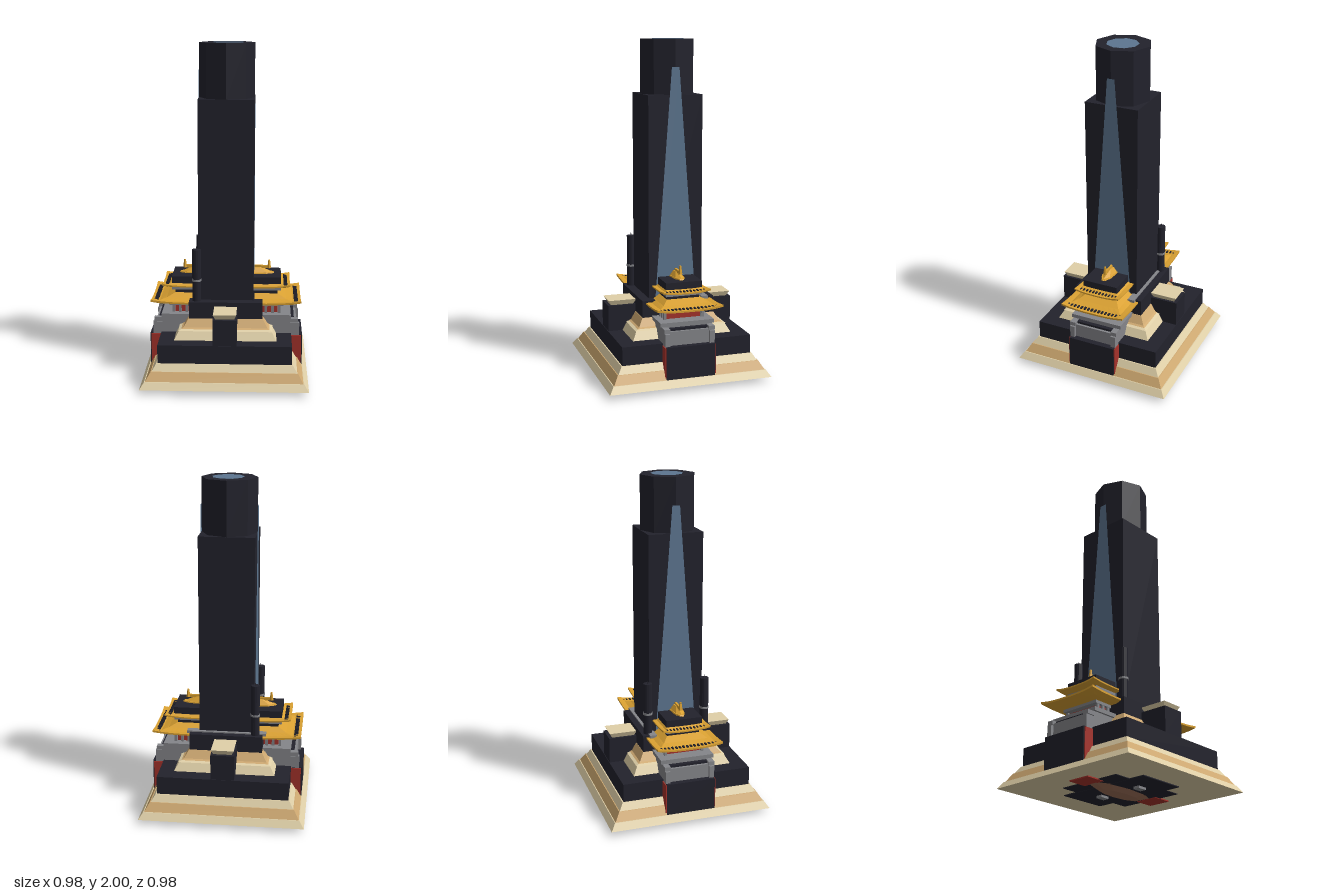
import * as THREE from 'three';

const mat = (name, color, side = THREE.FrontSide) => {
  const m = new THREE.MeshStandardMaterial({ color, side, flatShading: true });
  m.name = name;
  return m;
};

export function createModel() {
  const dark = mat('dark stone', 0x22222c);
  const cream = mat('cream stone', 0xe0d0a8);
  const tan = mat('tan stone', 0xd0aa72);
  const gold = mat('gold roof', 0xdaa132, THREE.DoubleSide);
  const grey = mat('grey stone', 0x85868a);
  const red = mat('red wall', 0xa5322b);
  const blue = mat('blue glass', 0x5d7690, THREE.DoubleSide);
  const brown = mat('brown rock', 0x9a6c55);

  const model = new THREE.Group();
  const add = (parent, name, geo, material) => {
    const m = new THREE.Mesh(geo, material);
    m.name = name;
    parent.add(m);
    return m;
  };
  // box given by its limits on each axis
  const box = (parent, name, material, x0, x1, y0, y1, z0, z1) => {
    const m = add(parent, name, new THREE.BoxGeometry(x1 - x0, y1 - y0, z1 - z0), material);
    m.position.set((x0 + x1) / 2, (y0 + y1) / 2, (z0 + z1) / 2);
    return m;
  };
  // square frustum: half widths at the bottom and the top
  const frustum = (parent, name, material, bottom, top, y0, y1) => {
    const g = new THREE.CylinderGeometry(top * Math.SQRT2, bottom * Math.SQRT2, y1 - y0, 4);
    g.rotateY(Math.PI / 4);
    const m = add(parent, name, g, material);
    m.position.y = (y0 + y1) / 2;
    return m;
  };

  // Stepped plinths
  [[cream, 0.492, 0.465, 0.03, 0.07], [tan, 0.46, 0.43, 0.07, 0.12], [cream, 0.425, 0.4, 0.12, 0.16]]
    .forEach(([m, a, b, y0, y1]) => frustum(model, 'lowerStep', m, a, b, y0, y1));
  box(model, 'lowerTerrace', dark, -0.393, 0.393, 0.16, 0.27, -0.393, 0.393);
  [[cream, 0.303, 0.275, 0.27, 0.32], [tan, 0.275, 0.25, 0.32, 0.333], [cream, 0.28, 0.253, 0.32, 0.33],
    [tan, 0.25, 0.222, 0.333, 0.38]]
    .forEach(([m, a, b, y0, y1]) => frustum(model, 'upperStep', m, a, b, y0, y1));
  box(model, 'upperTerrace', dark, -0.22, 0.22, 0.38, 0.48, -0.22, 0.22);

  // Pedestals with flared caps, front and back
  for (const s of [1, -1]) {
    box(model, 'pedestal', dark, -0.07, 0.07, 0.26, 0.425, s > 0 ? 0.2 : -0.39, s > 0 ? 0.39 : -0.2);
    const cap = frustum(model, 'pedestalCap', cream, 0.055, 0.068, 0.425, 0.455);
    cap.scale.z = 1.25;
    cap.position.z = s * 0.3;
  }

  // Tower shaft and octagonal crown
  box(model, 'towerShaft', dark, -0.165, 0.165, 0.45, 1.68, -0.165, 0.165);
  add(model, 'towerCrown', new THREE.CylinderGeometry(0.165, 0.165, 0.32, 8), dark).position.y = 1.84;
  const skylight = add(model, 'skylight', new THREE.CylinderGeometry(0.095, 0.095, 0.002, 9), blue);
  skylight.position.set(0.008, 2, 0);

  // Tapering glass strip on each side of the tower
  const glassShape = new THREE.Shape([[-0.125, 0.48], [0.125, 0.48], [0.023, 1.84], [-0.023, 1.84]]
    .map(([x, y]) => new THREE.Vector2(x, y)));
  for (const s of [1, -1]) {
    const glass = add(model, 'glassStrip', new THREE.ShapeGeometry(glassShape), blue);
    glass.rotation.y = s * Math.PI / 2;
    glass.position.x = s * 0.167;
  }

  // Chimney-like columns
  for (const s of [1, -1]) {
    const column = new THREE.Group();
    column.name = 'column';
    column.position.set(-0.175, 0, s * 0.178);
    add(column, 'columnShaft', new THREE.CylinderGeometry(0.026, 0.026, 0.32, 16), dark).position.y = 0.635;
    add(column, 'columnBand', new THREE.CylinderGeometry(0.029, 0.029, 0.012, 16), grey).position.y = 0.607;
    const rim = add(column, 'columnRim', new THREE.TorusGeometry(0.027, 0.0015, 4, 20), gold);
    rim.rotation.x = Math.PI / 2;
    rim.position.y = 0.607;
    add(column, 'columnTip', new THREE.ConeGeometry(0.005, 0.02, 6), dark).position.y = 0.805;
    model.add(column);
  }
  box(model, 'backLedge', grey, -0.24, 0.24, 0.47, 0.487, -0.182, -0.14);

  // Three-sided roof skirt: each profile row is [outer x, half z, y, corner lift]
  const roof = (x0, profile) => {
    const n = 8, pos = [], idx = [], w = 3 * n + 1;
    for (const [X, Z, y, lift] of profile) {
      const corners = [[x0, Z], [X, Z], [X, -Z], [x0, -Z]];
      for (let i = 0; i < w; i++) {
        const k = Math.min(2, Math.floor(i / n)), t = i / n - k;
        const [a, b] = [corners[k], corners[k + 1]];
        const near = k === 0 ? t : k === 2 ? 1 - t : Math.abs(2 * t - 1);
        pos.push(a[0] + (b[0] - a[0]) * t, y + lift * near ** 3, a[1] + (b[1] - a[1]) * t);
      }
    }
    for (let r = 0; r < profile.length - 1; r++) for (let i = 0; i < w - 1; i++) {
      const a = r * w + i, b = a + w;
      idx.push(a, a + 1, b, b, a + 1, b + 1);
    }
    const g = new THREE.BufferGeometry();
    g.setAttribute('position', new THREE.Float32BufferAttribute(pos, 3));
    g.setIndex(idx);
    g.computeVertexNormals();
    return g;
  };

  // Palace wing, built on +x and turned round for the other side
  for (const turn of [0, Math.PI]) {
    const wing = new THREE.Group();
    wing.name = turn ? 'rightWing' : 'leftWing';
    wing.rotation.y = turn;
    model.add(wing);

    box(wing, 'gateBlock', dark, 0.2, 0.46, 0.07, 0.262, -0.148, 0.148);
    box(wing, 'hall', grey, 0.17, 0.385, 0.26, 0.37, -0.15, 0.15);
    box(wing, 'hallLedge', grey, 0.17, 0.39, 0.365, 0.388, -0.163, 0.163);
    box(wing, 'balcony', grey, 0.38, 0.425, 0.26, 0.345, -0.135, 0.135);
    box(wing, 'balconyGap', dark, 0.38, 0.41, 0.345, 0.358, -0.13, 0.13);
    box(wing, 'redHall', red, 0.17, 0.31, 0.385, 0.45, -0.105, 0.105);
    box(wing, 'lowerBeam', grey, 0.17, 0.345, 0.432, 0.458, -0.125, 0.125);
    box(wing, 'upperHall', dark, 0.165, 0.31, 0.48, 0.57, -0.1, 0.1);
    box(wing, 'upperBeam', grey, 0.165, 0.33, 0.525, 0.548, -0.11, 0.11);
    box(wing, 'roofBlock', dark, 0.165, 0.33, 0.555, 0.607, -0.11, 0.11);

    for (const s of [1, -1]) {
      box(wing, 'redPanel', red, 0.39, 0.454, 0.075, 0.258, s * 0.15 - 0.004, s * 0.15 + 0.004);
      box(wing, 'balconyPost', grey, 0.385, 0.442, 0.26, 0.335, s * 0.135 - 0.015, s * 0.135 + 0.015);
      box(wing, 'balconyPostCap', grey, 0.38, 0.435, 0.338, 0.362, s * 0.135 - 0.018, s * 0.135 + 0.018);
      for (const x of [0.24, 0.28, 0.32])
        box(wing, 'porchPost', grey, x - 0.008, x + 0.008, 0.385, 0.435, s * 0.115 - 0.008, s * 0.115 + 0.008);
    }

    add(wing, 'lowerRoof', roof(0.17, [[0.33, 0.11, 0.448, 0], [0.4, 0.165, 0.45, 0.004],
      [0.45, 0.2, 0.46, 0.014], [0.45, 0.2, 0.47, 0.016], [0.4, 0.165, 0.468, 0.006],
      [0.36, 0.135, 0.482, 0], [0.31, 0.1, 0.505, 0]]), gold);
    add(wing, 'upperRoof', roof(0.165, [[0.3, 0.09, 0.54, 0], [0.35, 0.12, 0.542, 0.003],
      [0.385, 0.145, 0.548, 0.012], [0.385, 0.145, 0.556, 0.014], [0.35, 0.12, 0.556, 0.005],
      [0.3, 0.09, 0.58, 0]]), gold);

    // Rows of dark roof slots
    for (let i = 0; i < 16; i++) {
      const z = (i - 7.5) * 0.0225;
      box(wing, 'lowerRoofSlot', dark, 0.408, 0.432, 0.468, 0.477, z - 0.005, z + 0.005);
      if (i > 1 && i < 14) box(wing, 'upperRoofSlot', dark, 0.346, 0.368, 0.555, 0.563, z * 0.92 - 0.004, z * 0.92 + 0.004);
    }

    // Crown roof with ridge and finial
    const crown = add(wing, 'crownRoof', new THREE.CylinderGeometry(0.35, 1, 0.036, 8), gold);
    crown.scale.set(0.125, 1, 0.04);
    crown.position.set(0.17, 0.624, 0);
    box(wing, 'crownRidge', gold, 0.165, 0.265, 0.636, 0.654, -0.006, 0.006);
    const finial = add(wing, 'finial', new THREE.CylinderGeometry(0.006, 0.013, 0.05, 6), gold);
    finial.position.set(0.258, 0.662, 0);
    const eave = add(wing, 'crownEave', new THREE.CylinderGeometry(0.95, 1, 0.008, 10), gold);
    eave.scale.set(0.13, 1, 0.04);
    eave.position.set(0.165, 0.61, 0);
  }

  // Foundation below the plinth
  box(model, 'foundationPlate', dark, -0.26, 0.26, 0.026, 0.035, -0.2, 0.2);
  box(model, 'foundationPlate', dark, -0.15, 0.15, 0.024, 0.035, -0.3, 0.3);
  for (const s of [1, -1])
    box(model, 'foundationRedPlate', red, s * 0.28 - 0.06, s * 0.28 + 0.06, 0.023, 0.034, -0.07, 0.07);
  const rock = add(model, 'foundationRock', new THREE.CylinderGeometry(1, 0.65, 0.026, 10), brown);
  rock.scale.set(0.24, 1, 0.075);
  rock.position.set(-0.01, 0.013, 0);
  for (const z of [-0.14, 0.14]) box(model, 'foundationFoot', grey, -0.03, 0.03, 0.01, 0.03, z - 0.02, z + 0.02);
  return model;
}
